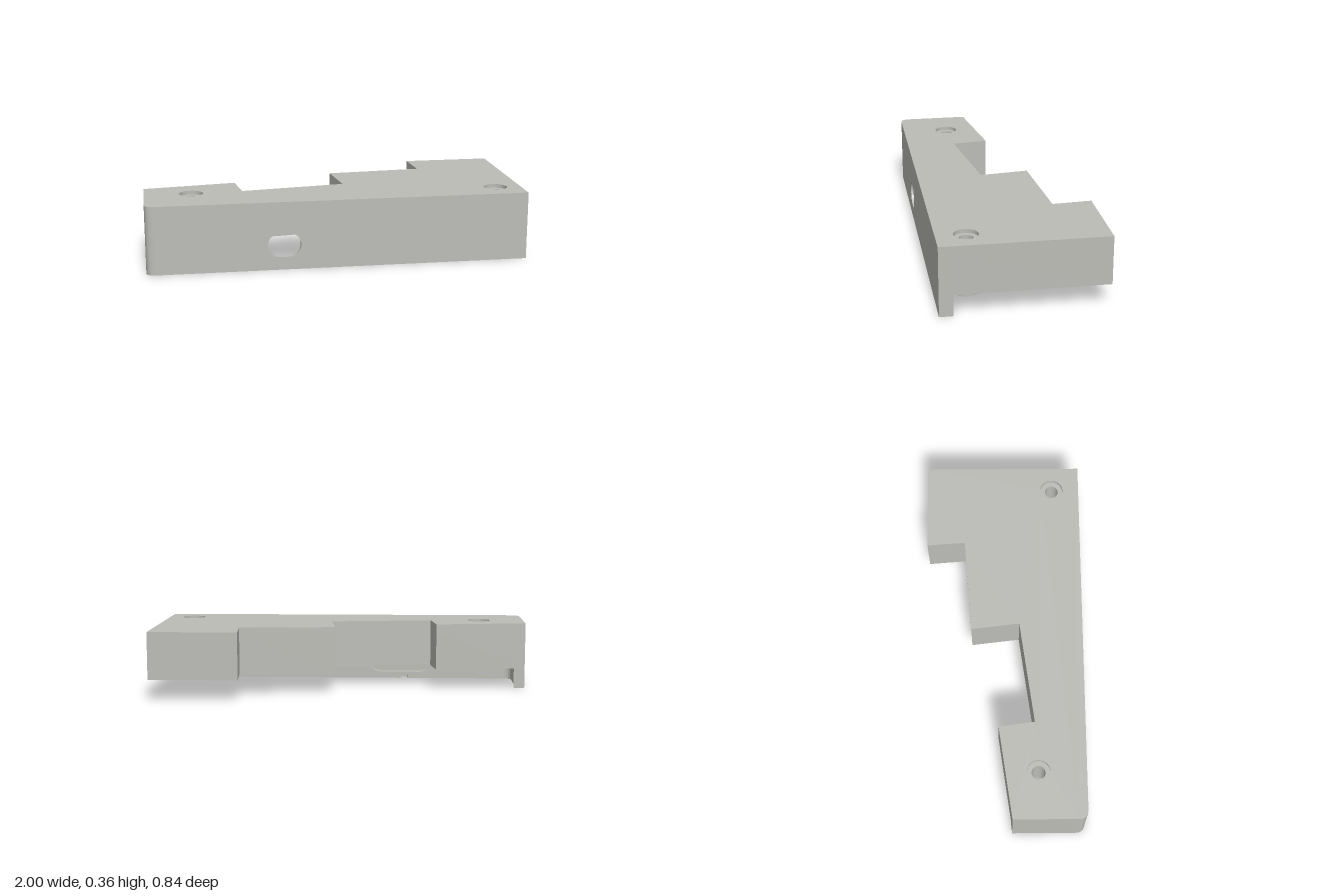
import * as THREE from 'three';
import { toCreasedNormals } from 'three/addons/utils/BufferGeometryUtils.js';

const TOP = 0.36, CEILING = 0.32, RIM = 0.11;
const WALL = 0.045, FRONT = 0.42, FRONT_INNER = 0.35;

// Stepped back and side outline as [x, z], from front right around to front left
const SIDES = [
  [1, 0.35], [1, -0.42], [0.53, -0.42], [0.545, -0.215], [0.035, -0.178],
  [0.065, 0.08], [-0.485, 0.155], [-0.51, -0.035], [-1, 0.033], [-1, 0.35],
];
const SCREWS = [
  { x: 0.863, z: 0.27, bottom: 0.06 },
  { x: -0.753, z: 0.17, bottom: 0.105 },
];

// Offset an open polyline sideways, with mitred corners
function offsetLine(points, t) {
  const normal = (a, b) => {
    const dx = b[0] - a[0], dz = b[1] - a[1], l = Math.hypot(dx, dz);
    return [dz / l, -dx / l];
  };
  return points.map((p, i) => {
    const n1 = normal(points[Math.max(i - 1, 0)], points[Math.max(i, 1)]);
    const last = points.length - 1;
    const n2 = normal(points[Math.min(i, last - 1)], points[Math.min(i + 1, last)]);
    const k = t / (1 + n1[0] * n2[0] + n1[1] * n2[1]);
    return [p[0] + (n1[0] + n2[0]) * k, p[1] + (n1[1] + n2[1]) * k];
  });
}

// Plan shapes are drawn in x and -z
const planShape = (points) => new THREE.Shape(points.map(([x, z]) => new THREE.Vector2(x, -z)));

function circlePath(x, y, r, Type = THREE.Path) {
  const path = new Type();
  path.absarc(x, y, r, 0, Math.PI * 2, false);
  return path;
}

function slotPath(x, y, halfWidth, r) {
  const path = new THREE.Path();
  const s = halfWidth - r;
  path.absarc(x + s, y, r, -Math.PI / 2, Math.PI / 2, false);
  path.absarc(x - s, y, r, Math.PI / 2, Math.PI * 1.5, false);
  path.closePath();
  return path;
}

export function createModel() {
  const group = new THREE.Group();
  const grey = new THREE.MeshStandardMaterial({ color: 0xbcbcb7 });
  grey.name = 'warm grey';

  const extrude = (name, shape, depth) => {
    const geo = new THREE.ExtrudeGeometry(shape, { depth, bevelEnabled: false, curveSegments: 20 });
    const mesh = new THREE.Mesh(toCreasedNormals(geo, 0.6), grey);
    mesh.name = name;
    group.add(mesh);
    return mesh;
  };
  // Horizontal layer between two heights
  const layer = (name, shape, y0, y1) => {
    const mesh = extrude(name, shape, y1 - y0);
    mesh.geometry.rotateX(-Math.PI / 2);
    mesh.geometry.translate(0, y0, 0);
  };

  // Roof: two layers, so the screw holes are counterbored
  const roofShape = (r) => {
    const shape = planShape(SIDES.slice(1, -1));
    shape.lineTo(-1, -0.37);
    shape.quadraticCurveTo(-1, -FRONT, -0.95, -FRONT);
    shape.lineTo(1, -FRONT);
    shape.closePath();
    SCREWS.forEach((s) => shape.holes.push(circlePath(s.x, -s.z, r)));
    return shape;
  };
  layer('roofTop', roofShape(0.062), 0.34, TOP);
  layer('roofUnderside', roofShape(0.036), CEILING, 0.34);

  // Stepped walls at the back and sides, ending above the ground
  const inner = offsetLine(SIDES, WALL);
  layer('steppedWall', planShape([...SIDES, ...inner.reverse()]), RIM, CEILING);

  // Left wall reaching the ground, rounded outside and filleted inside
  const left = new THREE.Shape();
  left.moveTo(-1, -0.033);
  left.lineTo(-1, -0.37);
  left.quadraticCurveTo(-1, -FRONT, -0.95, -FRONT);
  left.lineTo(-0.91, -FRONT);
  left.lineTo(-0.91, -FRONT_INNER);
  left.quadraticCurveTo(-1 + WALL, -FRONT_INNER, -1 + WALL, -0.305);
  left.lineTo(-1 + WALL, -0.075);
  left.quadraticCurveTo(-1 + WALL, -0.035, -0.94, -0.027);
  left.closePath();
  layer('leftWall', left, 0, CEILING);

  // Front wall: outer skin with the port, inner skin with a wider recess
  const frontShape = (notch) => {
    const pts = [[-0.91, 0]];
    if (notch) pts.push([-0.36, 0], [-0.36, 0.02], [-0.32, 0.02], [-0.32, 0]);
    pts.push([1, 0], [1, CEILING], [-0.91, CEILING]);
    return new THREE.Shape(pts.map(([x, y]) => new THREE.Vector2(x, y)));
  };
  const outerSkin = frontShape(false);
  outerSkin.holes.push(slotPath(-0.292, 0.131, 0.087, 0.063));
  extrude('frontWallOuter', outerSkin, 0.03).position.z = FRONT - 0.03;
  const innerSkin = frontShape(true);
  innerSkin.holes.push(slotPath(-0.322, 0.131, 0.2, 0.095));
  extrude('frontWallInner', innerSkin, 0.04).position.z = FRONT_INNER;

  // Hollow screw posts hanging from the roof
  SCREWS.forEach((s) => {
    const ring = circlePath(s.x, -s.z, 0.061, THREE.Shape);
    ring.holes.push(circlePath(s.x, -s.z, 0.036));
    layer('screwPost', ring, s.bottom, CEILING);
  });

  return group;
}
